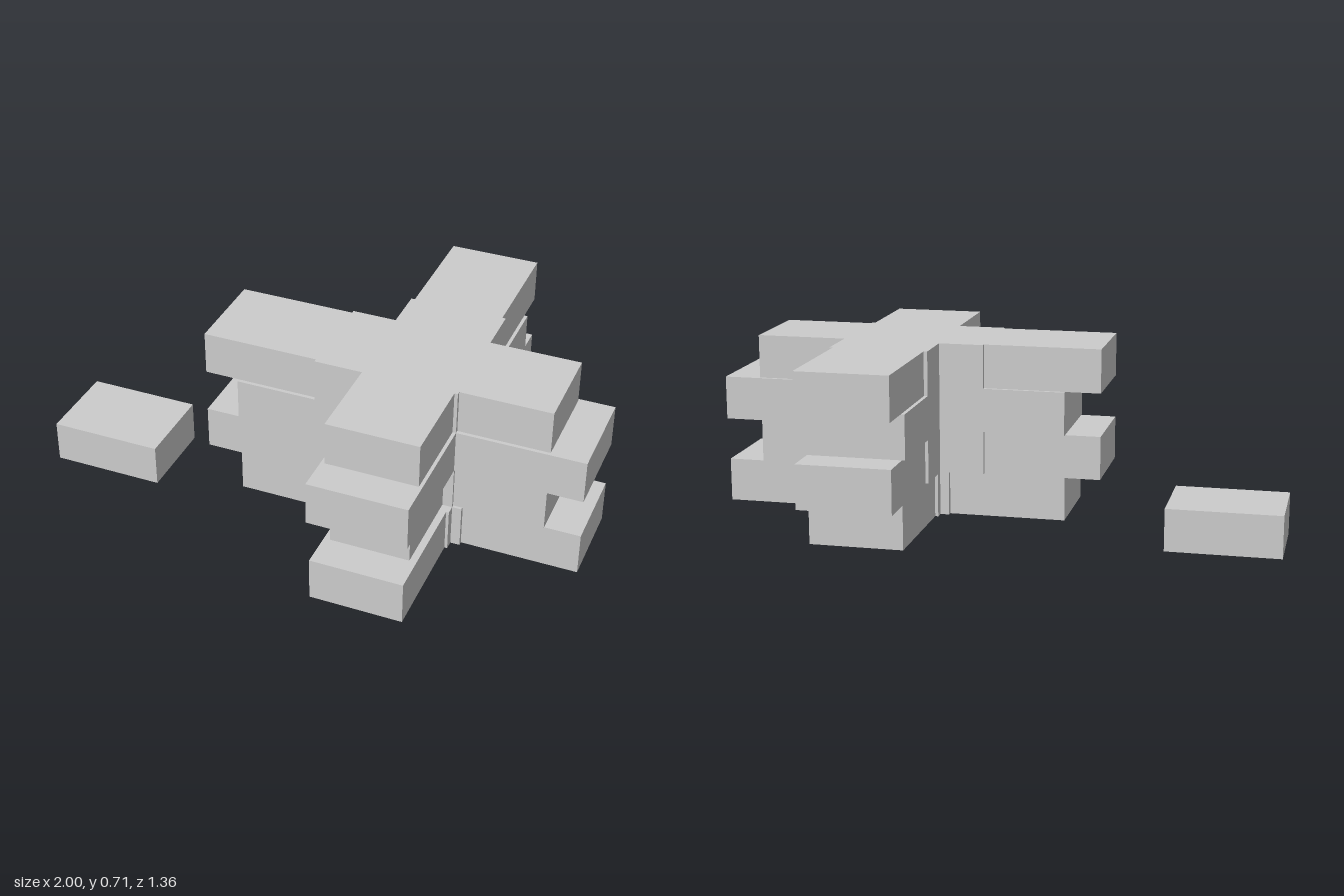
import * as THREE from 'three';

const material = new THREE.MeshStandardMaterial({ color: 0xcccccc, flatShading: true });

// Box given by its limits on each axis
function block(name, [x0, x1], [y0, y1], [z0, z1]) {
  const geometry = new THREE.BoxGeometry(x1 - x0, y1 - y0, z1 - z0);
  const mesh = new THREE.Mesh(geometry, material);
  mesh.name = name;
  mesh.position.set((x0 + x1) / 2, (y0 + y1) / 2, (z0 + z1) / 2);
  return mesh;
}

// Each course, bottom up: shifted along the arms or not, and the arm widths
const courses = [
  { shifted: false, side: [-0.095, 0.22], front: [0.217, 0.543], back: [0.217, 0.543] },
  { shifted: true, side: [-0.095, 0.225], front: [0.238, 0.518], back: [0.217, 0.543] },
  { shifted: false, side: [-0.112, 0.235], front: [0.206, 0.553], back: [0.206, 0.553] },
  { shifted: true, side: [-0.1, 0.222], front: [0.219, 0.541], back: [0.219, 0.541] },
];
const BOTTOM = 0.09;
const HEIGHT = 0.154;
const BRICK = 0.412;

export function createModel() {
  const group = new THREE.Group();

  courses.forEach(({ shifted, side, front, back }, i) => {
    const course = new THREE.Group();
    course.name = `course${i + 1}`;
    const y = [BOTTOM + i * HEIGHT, BOTTOM + (i + 1) * HEIGHT];

    // Outer ends of the cross alternate from course to course
    const x0 = shifted ? -0.363 : -0.238;
    const x1 = shifted ? 0.872 : 0.998;
    const z0 = shifted ? -0.68 : -0.555;
    const z1 = shifted ? 0.555 : 0.68;

    // Slightly wider core between the four end bricks
    const coreX = [x0 + BRICK, shifted ? 0.553 : x1 - BRICK];
    const coreZ = [z0 + BRICK, shifted ? 0.235 : z1 - BRICK];
    course.add(
      block('coreAcross', coreX, y, [-0.112, 0.235]),
      block('coreAlong', [0.206, 0.553], y, coreZ),
      block('rightBrick', [x0, coreX[0]], y, side),
      block('leftBrick', [coreX[1], x1], y, side),
      block('backBrick', back, y, [z0, coreZ[0]]),
      block('frontBrick', front, y, [coreZ[1], z1]),
    );
    group.add(course);
  });

  // Single brick lying beside the stack
  group.add(block('looseBrick', [-1, -0.59], [0, HEIGHT], [-0.092, 0.217]));
  return group;
}
